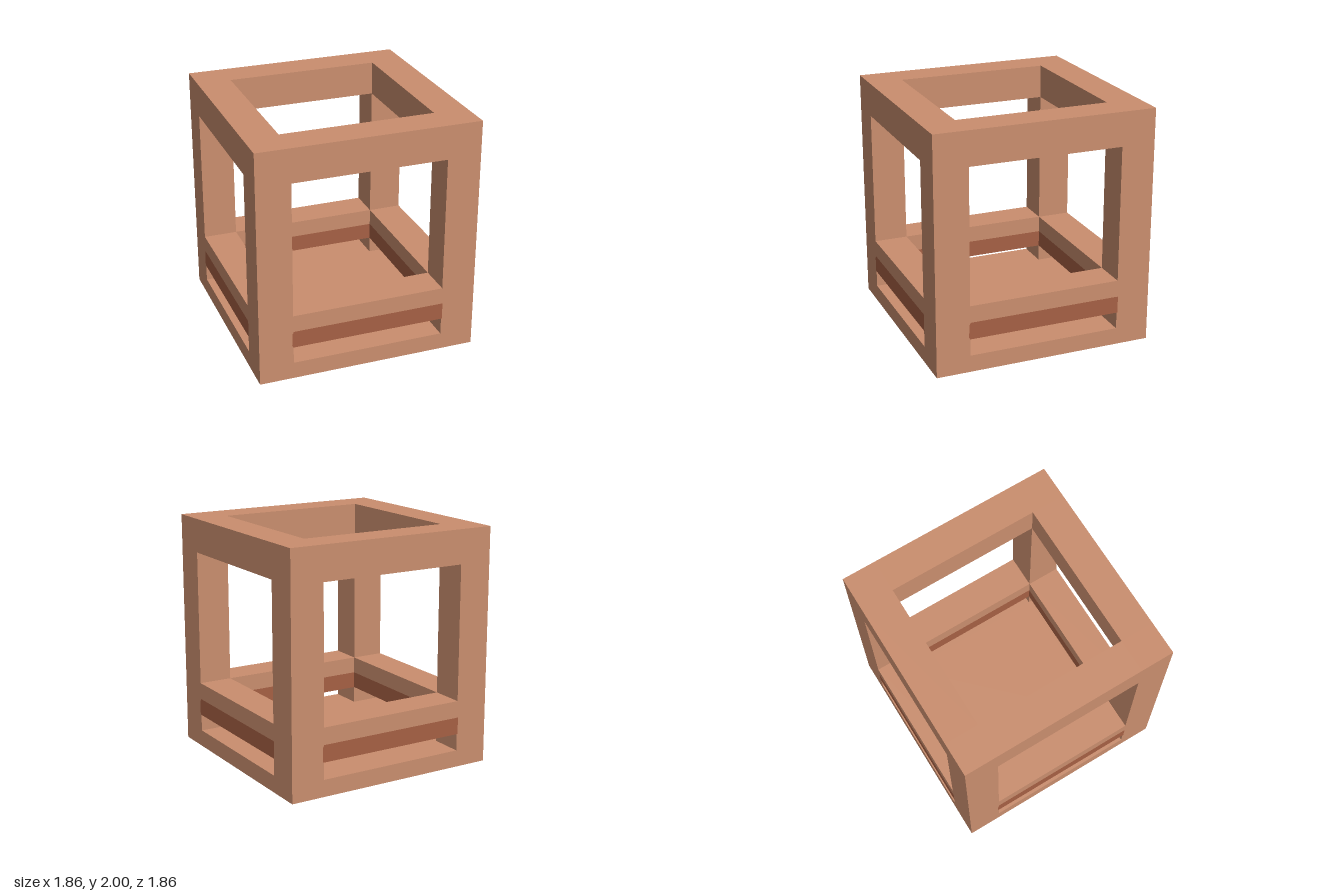
import * as THREE from 'three';

const U = 1 / 7;              // module size
const OUT = 6.5 * U;          // half width of the frame
const IN = 4.5 * U;           // half width of the openings
const T = 2 * U;              // post and beam thickness

const clay = new THREE.MeshStandardMaterial({ color: 0xca8e6e, side: THREE.DoubleSide });
clay.name = 'clay';
const rust = new THREE.MeshStandardMaterial({ color: 0xa66044, side: THREE.DoubleSide });
rust.name = 'rust';

// Box from y0 to y1 without the listed faces (0..5 = +x -x +y -y +z -z)
function openBox(w, y0, y1, d, skip) {
  const g = new THREE.BoxGeometry(w, y1 - y0, d).translate(0, (y0 + y1) / 2, 0);
  const kept = Array.from(g.index.array).filter((_, i) => !skip.includes(Math.floor(i / 6)));
  g.setIndex(kept);
  g.clearGroups();
  return g;
}

function add(parent, name, geometry, material, x = 0, z = 0) {
  const mesh = new THREE.Mesh(geometry, material);
  mesh.name = name;
  mesh.position.set(x, 0, z);
  parent.add(mesh);
  return mesh;
}

export function createModel() {
  const model = new THREE.Group();
  model.name = 'openFrame';
  const mid = (IN + OUT) / 2;

  // Band paint, softened at one end and overlapping the posts slightly
  const a = 0.655, y0 = 2 * U, y1 = 3 * U, c = 0.018;
  const band = new THREE.Shape([
    [-a, y0 + c], [-a + 0.009, y0], [0.65, y0], [0.65, y1],
    [-a + c, y1], [-a + 0.004, y1 - c],
  ].map(([x, y]) => new THREE.Vector2(x, y)));

  for (let i = 0; i < 4; i++) {
    const side = new THREE.Group();
    side.name = ['front', 'left', 'back', 'right'][i] + 'Side';
    side.rotation.y = i * Math.PI / 2;
    model.add(side);

    // Hollow post, open underneath
    add(side, 'post', openBox(T, U, 14 * U, T, [3]), clay, mid, mid);
    // Beams between the posts
    add(side, 'topBeam', openBox(2 * IN, 12 * U, 14 * U, T, [0, 1]), clay, 0, mid);
    add(side, 'railUpper', openBox(2 * IN, 3 * U, 4 * U, T, [0, 1, 3]), clay, 0, mid);
    add(side, 'railLower', openBox(2 * IN, 2 * U, 3 * U, T, [0, 1, 2]), rust, 0, mid);
    add(side, 'railBand', new THREE.ShapeGeometry(band), rust, 0, OUT + 0.0015);
    // Thin skirt below floor level
    add(side, 'skirt', new THREE.PlaneGeometry(2 * OUT, U).translate(0, U / 2, 0), clay, 0, OUT);
  }

  // Cross-shaped floor, notched around the hollow posts
  const floor = new THREE.Shape([
    [IN, OUT], [-IN, OUT], [-IN, IN], [-OUT, IN], [-OUT, -IN], [-IN, -IN],
    [-IN, -OUT], [IN, -OUT], [IN, -IN], [OUT, -IN], [OUT, IN], [IN, IN],
  ].map(([x, y]) => new THREE.Vector2(x, y)));
  add(model, 'floor', new THREE.ShapeGeometry(floor).rotateX(-Math.PI / 2).translate(0, U, 0), clay);

  return model;
}
